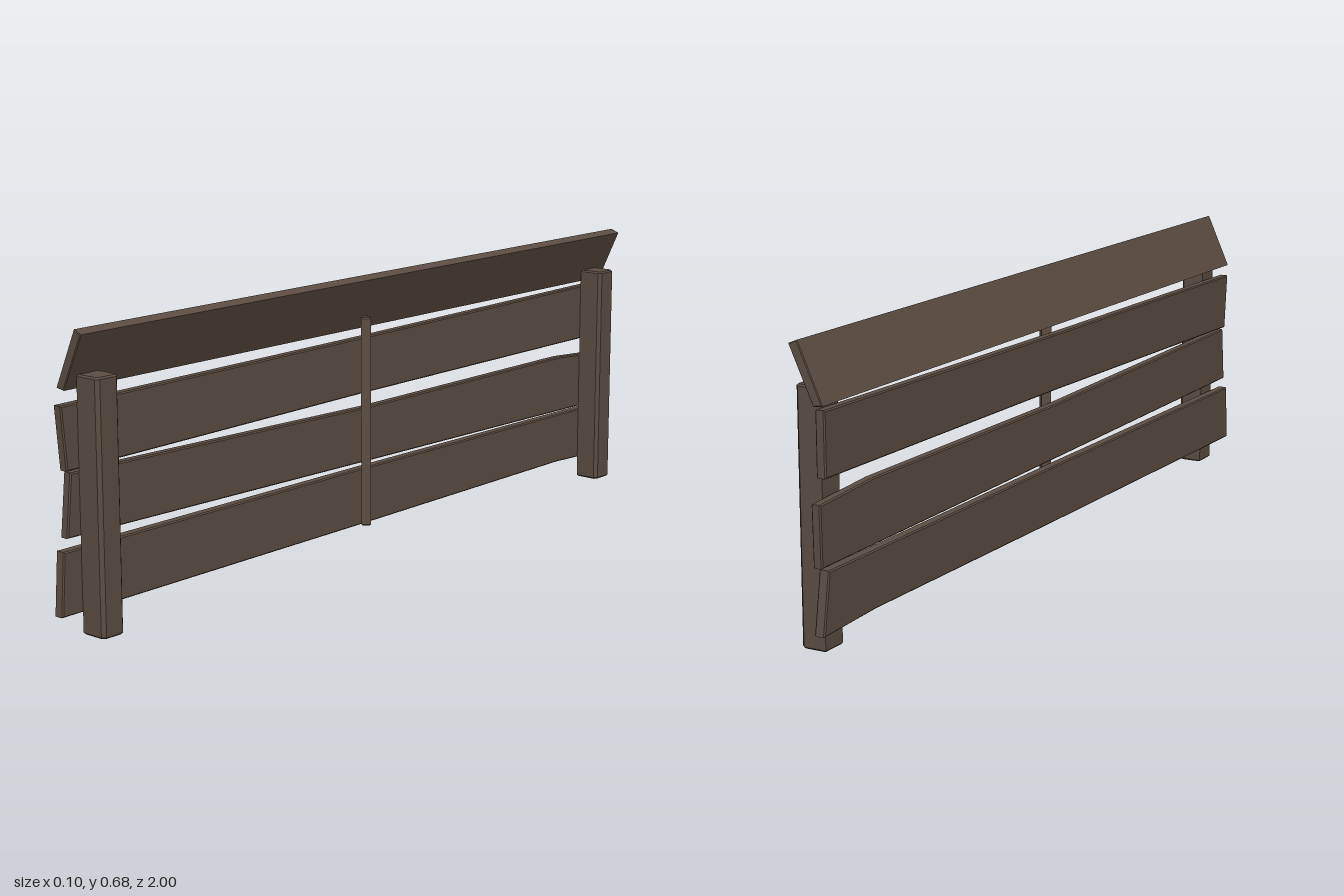
import * as THREE from 'three';

const wood = new THREE.MeshStandardMaterial({ color: 0x5b4d42 });
wood.name = 'weatheredWood';

// Chamfered slab: outline points are [a, b], extruded by depth including the bevels
function slab(points, depth, bevel) {
  const shape = new THREE.Shape(points.map(([a, b]) => new THREE.Vector2(a, b)));
  const geo = new THREE.ExtrudeGeometry(shape, {
    depth: depth - 2 * bevel, bevelEnabled: true, bevelSegments: 1,
    bevelSize: bevel, bevelThickness: bevel, bevelOffset: -bevel,
  });
  return geo.translate(0, 0, bevel);
}

export function createModel() {
  const group = new THREE.Group();
  const add = (name, geo) => {
    const mesh = new THREE.Mesh(geo, wood);
    mesh.name = name;
    group.add(mesh);
    return mesh;
  };

  // Uneven planks: outlines as [z, y], thickness running along x
  const planks = [
    ['bottomPlank', -0.043, 0.026, [[1, 0.05], [0, 0.053], [-0.8, 0.058], [-1, 0.05], [-0.977, 0.19], [0, 0.195], [0.99, 0.195]]],
    ['middlePlank', -0.039, 0.023, [[0.98, 0.223], [0, 0.21], [-0.997, 0.198], [-1, 0.337], [-0.8, 0.35], [0, 0.347], [0.966, 0.366]]],
    ['upperPlank', -0.041, 0.024, [[0.975, 0.37], [0, 0.383], [-0.98, 0.388], [-0.98, 0.534], [0, 0.522], [0.988, 0.515]]],
  ];
  for (const [name, x, depth, outline] of planks) {
    const geo = slab(outline.map(([z, y]) => [-z, y]), depth, 0.003);
    add(name, geo.rotateY(Math.PI / 2).translate(x, 0, 0));
  }

  // Tilted cap board, outline in x-y, running along z
  const cap = [[-0.05, 0.548], [-0.027, 0.544], [0.032, 0.672], [0.01, 0.681]];
  add('capBoard', slab(cap, 1.97, 0.002).translate(0, 0, -1));

  // Posts with trimmed corners and chamfered ends
  const h = 0.032, c = 0.008;
  const section = [[-h, -h], [h - c, -h], [h, -h + c], [h, h - c], [h - c, h], [-h, h]];
  for (const [name, z] of [['frontPost', 0.91], ['backPost', -0.926]]) {
    add(name, slab(section, 0.577, 0.004).rotateX(-Math.PI / 2).translate(0.016, 0, z));
  }

  // Slim middle stake, turned so an edge faces outward
  const s = 0.012;
  const stake = add('middleStake', slab([[-s, -s], [s, -s], [s, s], [-s, s]], 0.52, 0.003).rotateX(-Math.PI / 2));
  stake.rotation.y = 0.7;
  stake.position.set(-0.003, 0.055, 0.016);

  return group;
}
